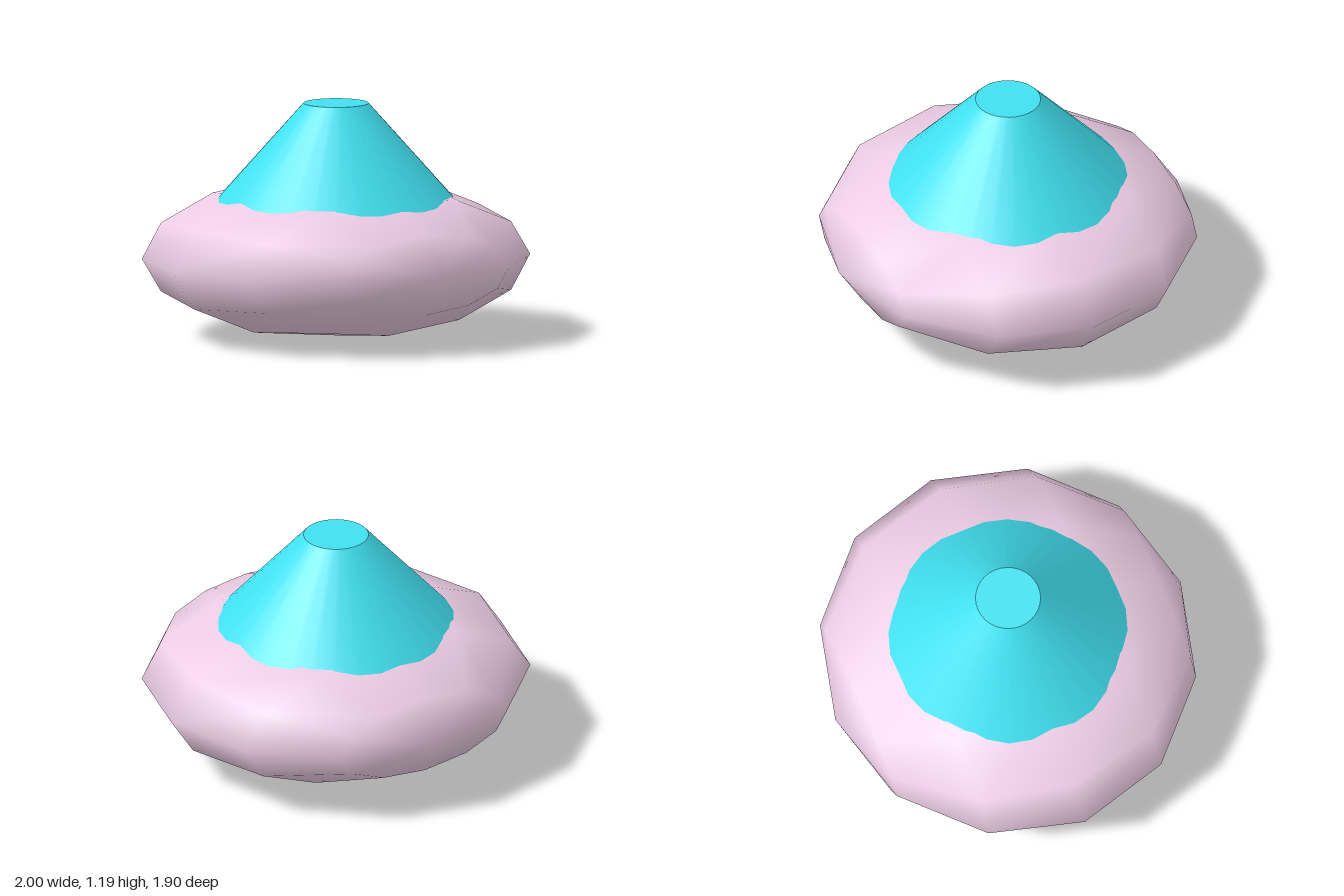
import * as THREE from 'three';

export function createModel() {
  const group = new THREE.Group();

  // Low-sided squashed ball, its poles pointing to front and back
  const bodyGeometry = new THREE.SphereGeometry(1, 12, 6);
  bodyGeometry.rotateX(Math.PI / 2);
  bodyGeometry.scale(1, 0.405, 0.95);
  const body = new THREE.Mesh(
    bodyGeometry,
    new THREE.MeshStandardMaterial({ color: 0xeccce4 })
  );
  body.name = 'body';
  body.position.y = 0.405;
  group.add(body);

  // Truncated cone sunk into the top of the body
  const topY = 1.19, baseY = 0.6;
  const topRadius = 0.165, baseRadius = 0.69;
  const height = topY - baseY;
  const cap = new THREE.Mesh(
    new THREE.CylinderGeometry(topRadius, baseRadius, height, 32),
    new THREE.MeshStandardMaterial({ color: 0x40e0f0 })
  );
  cap.name = 'coneTop';
  cap.position.y = baseY + height / 2;
  group.add(cap);

  return group;
}
